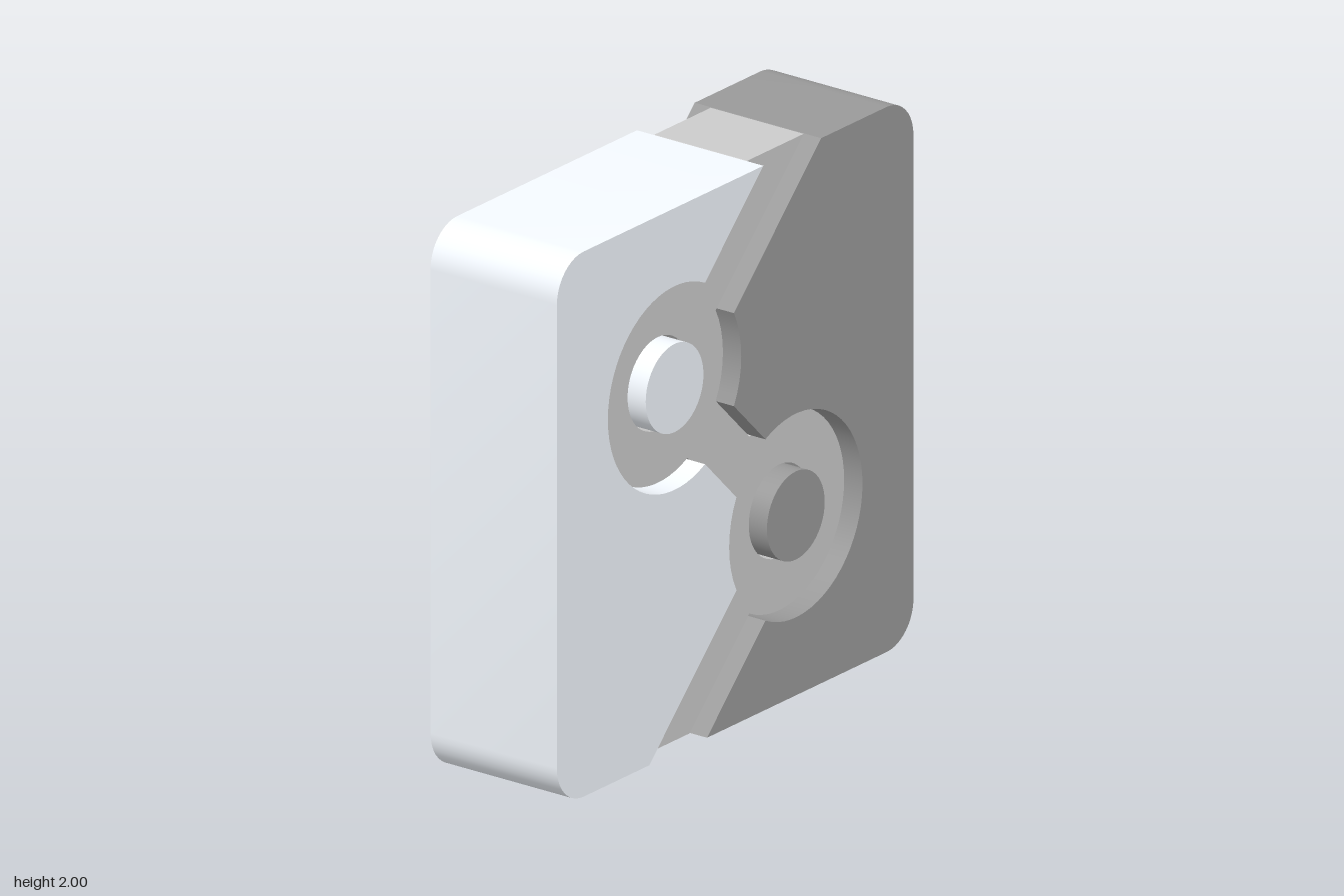
import * as THREE from 'three';
import { toCreasedNormals } from 'three/addons/utils/BufferGeometryUtils.js';

const C = 0.34; // ring centres sit at (-C, 1 + C) and (C, 1 - C)
const V = (x, y) => new THREE.Vector2(x, y);

// Points on an arc, angles in radians
function arc(cx, cy, r, from, to, n) {
  return Array.from({ length: n + 1 }, (_, i) => {
    const t = from + ((to - from) * i) / n;
    return V(cx + r * Math.cos(t), cy + r * Math.sin(t));
  });
}

// Left edge of the zigzag channel from top to bottom; r = ring radius, w = band offset
function channelEdge(r, w) {
  const q = Math.PI / 4;
  const a = Math.asin(w / Math.SQRT2 / r);
  return [
    V(1 - 2 * C - w, 2),
    ...arc(-C, 1 + C, r, q + a, 7 * q - a, 40),
    ...arc(C, 1 - C, r, 3 * q + a, 5 * q - a, 8),
    V(2 * C - 1 - w, 0),
  ];
}

// Half turn about the middle of the block
const halfTurn = (pts) => pts.map((p) => V(-p.x, 2 - p.y));

function slab(name, shape, halfDepth, material) {
  const geo = new THREE.ExtrudeGeometry(shape, { depth: 2 * halfDepth, bevelEnabled: false, curveSegments: 24 });
  geo.translate(0, 0, -halfDepth);
  const mesh = new THREE.Mesh(toCreasedNormals(geo, 0.5), material);
  mesh.name = name;
  return mesh;
}

export function createModel() {
  const group = new THREE.Group();
  group.name = 'splitBlock';
  const light = new THREE.MeshStandardMaterial({ color: 0xf4f9ff });
  const dark = new THREE.MeshStandardMaterial({ color: 0x9a9a9a });
  const grey = new THREE.MeshStandardMaterial({ color: 0xcccccc });
  const depth = 0.272, corner = 0.15;

  // Outer plate halves with rounded outside corners
  const half = [
    ...channelEdge(0.374, 0.162),
    ...arc(-1 + corner, corner, corner, 1.5 * Math.PI, Math.PI, 10),
    ...arc(-1 + corner, 2 - corner, corner, Math.PI, 0.5 * Math.PI, 10),
  ];
  group.add(slab('lightPlate', new THREE.Shape(half), depth, light));
  group.add(slab('darkPlate', new THREE.Shape(halfTurn(half)), depth, dark));

  // Recessed zigzag band with two rings
  const edge = channelEdge(0.365, 0.158);
  const band = new THREE.Shape([...edge, ...halfTurn(edge)]);
  for (const s of [-1, 1]) {
    band.holes.push(new THREE.Path().absarc(s * C, 1 - s * C, 0.17, 0, Math.PI * 2, true));
  }
  group.add(slab('ringBand', band, 0.2, grey));

  // Round pegs standing in the rings
  for (const [name, s, material] of [['lightPeg', -1, light], ['darkPeg', 1, dark]]) {
    const peg = new THREE.Mesh(new THREE.CylinderGeometry(0.162, 0.162, 2 * depth, 48), material);
    peg.rotation.x = Math.PI / 2;
    peg.position.set(s * C, 1 - s * C, 0);
    peg.name = name;
    group.add(peg);
  }
  return group;
}
